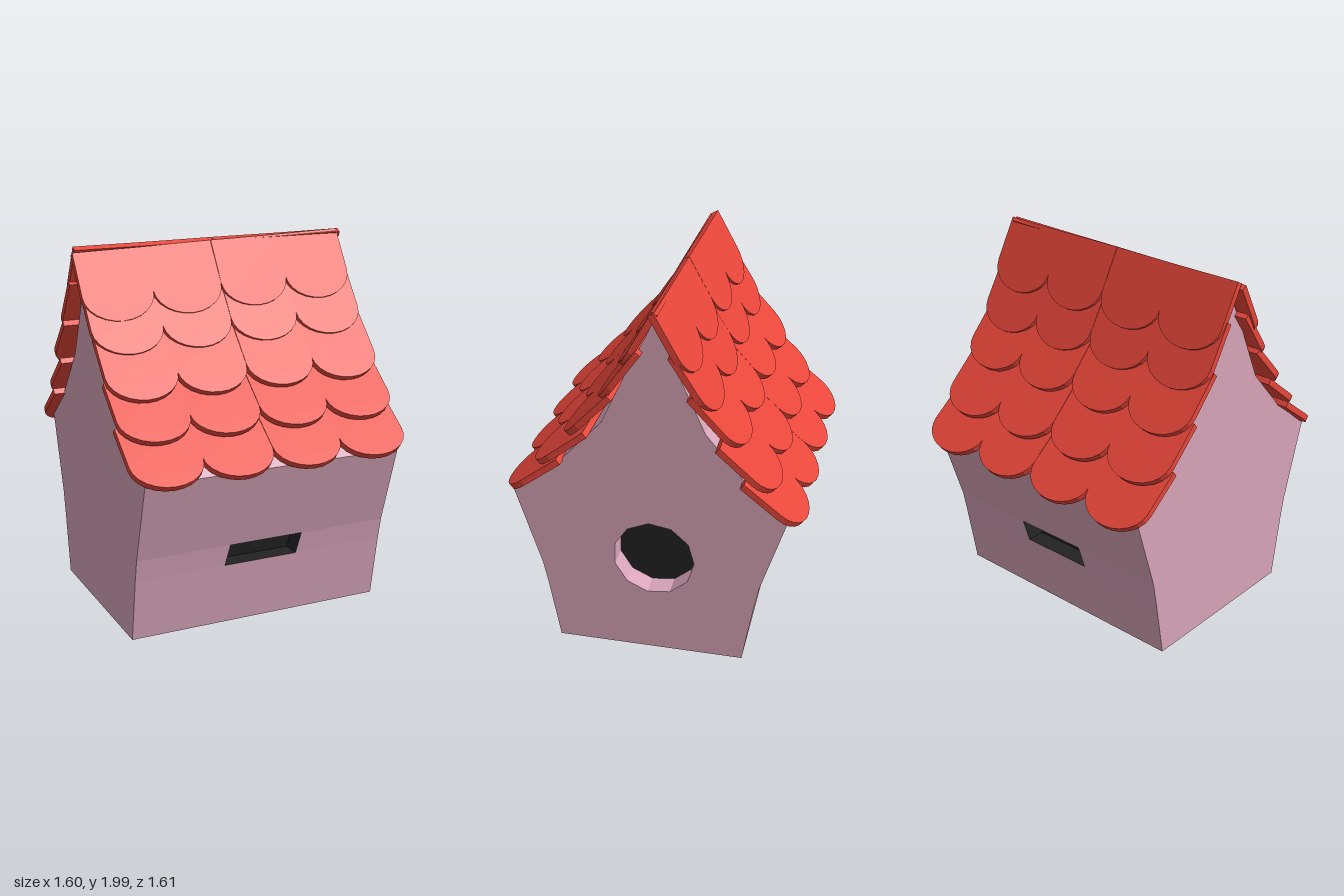
import * as THREE from 'three';

const mat = (color, side = THREE.FrontSide) =>
  new THREE.MeshStandardMaterial({ color, flatShading: true, side });
const pink = mat(0xd8a5b8), pinkInside = mat(0xd8a5b8, THREE.BackSide);
const dark = mat(0x222222), red = mat(0xe8463a);

// House outline as [z, y]: up the front, over the ridge, down the back
const profile = [
  [0.52, 0], [0.55, 0.18], [0.578, 0.35], [0.602, 0.47], [0.735, 0.91],
  [0.48, 1.11], [0.25, 1.36], [0.12, 1.64], [-0.035, 1.95],
  [-0.155, 1.64], [-0.28, 1.355], [-0.48, 1.11], [-0.71, 0.91],
  [-0.572, 0.47], [-0.549, 0.35], [-0.52, 0.18], [-0.49, 0],
];
const slotEdges = [2, 13];            // outline edges that carry a slot
const X0 = -0.715, X1 = 0.73;         // house ends
const HOLE = { z: -0.01, y: 0.577, r: 0.217, sides: 11, depth: 0.12 };

function add(parent, name, geometry, material) {
  const mesh = new THREE.Mesh(geometry, material);
  mesh.name = name;
  parent.add(mesh);
  return mesh;
}

// Geometry from a list of four-cornered faces
function quads(faces) {
  const pos = [];
  for (const [a, b, c, d] of faces) pos.push(...a, ...b, ...c, ...a, ...c, ...d);
  const g = new THREE.BufferGeometry();
  g.setAttribute('position', new THREE.Float32BufferAttribute(pos, 3));
  g.computeVertexNormals();
  return g;
}

function buildHouse() {
  const house = new THREE.Group();
  house.name = 'house';
  const walls = [], slots = [];
  const strip = (p, q, a0, a1, b0, b1) => [
    [a0, p[1], p[0]], [a1, p[1], p[0]], [b1, q[1], q[0]], [b0, q[1], q[0]]];
  const slotLeft = (y) => -0.21 + (y - 0.35) * 0.17;
  const slotRight = (y) => slotLeft(y) + 0.42;

  profile.forEach((p, i) => {
    const q = profile[(i + 1) % profile.length];
    if (!slotEdges.includes(i)) {
      walls.push(strip(p, q, X0, X1, X0, X1));
      return;
    }
    // Wall either side of a slot, and the slot's dark recess
    const [pl, pr, ql, qr] = [slotLeft(p[1]), slotRight(p[1]), slotLeft(q[1]), slotRight(q[1])];
    walls.push(strip(p, q, X0, pl, X0, ql), strip(p, q, pr, X1, qr, X1));
    const outer = strip(p, q, pl, pr, ql, qr);
    const inner = outer.map(([x, y, z]) => [x, y, z - Math.sign(z) * 0.1]);
    slots.push(inner);
    for (let k = 0; k < 4; k++) {
      const n = (k + 1) % 4;
      slots.push([outer[k], outer[n], inner[n], inner[k]]);
    }
  });
  add(house, 'walls', quads(walls), pink);
  add(house, 'slots', quads(slots), dark);

  // Plain gable end
  const plain = new THREE.Shape(profile.map(([z, y]) => new THREE.Vector2(z, y)));
  const plainEnd = add(house, 'plainGable', new THREE.ShapeGeometry(plain), pink);
  plainEnd.rotation.y = -Math.PI / 2;
  plainEnd.position.x = X0;

  // Gable end with the round entrance
  const rim = [];
  for (let i = 0; i < HOLE.sides; i++) {
    const a = 1.69 + (i / HOLE.sides) * Math.PI * 2;
    rim.push(new THREE.Vector2(-HOLE.z + HOLE.r * Math.cos(a), HOLE.y + HOLE.r * Math.sin(a)));
  }
  const open = new THREE.Shape(profile.map(([z, y]) => new THREE.Vector2(-z, y)));
  open.holes.push(new THREE.Path(rim));
  const entranceEnd = new THREE.Group();
  entranceEnd.name = 'entranceGable';
  entranceEnd.rotation.y = Math.PI / 2;
  entranceEnd.position.x = X1;
  house.add(entranceEnd);
  add(entranceEnd, 'gableWall', new THREE.ShapeGeometry(open), pink);
  const ring = rim.map((p, i) => {
    const n = rim[(i + 1) % rim.length];
    return [[p.x, p.y, -HOLE.depth], [n.x, n.y, -HOLE.depth], [n.x, n.y, 0], [p.x, p.y, 0]];
  });
  add(entranceEnd, 'entranceRim', quads(ring), pinkInside);
  const disc = add(entranceEnd, 'entranceBack', new THREE.ShapeGeometry(new THREE.Shape(rim)), dark);
  disc.position.z = -HOLE.depth;
  return house;
}

// Round-ended roof tile, its tip at the origin and its length along +y
const TILE_W = 0.392, TILE_L = 0.39, TILE_T = 0.034;
function tileGeometry() {
  const w = TILE_W / 2, arc = 0.145, s = new THREE.Shape();
  s.moveTo(w, TILE_L);
  s.lineTo(-w, TILE_L);
  for (let i = 0; i <= 12; i++) {
    const a = Math.PI + (i / 12) * Math.PI;
    s.lineTo(w * Math.cos(a), arc + arc * Math.sin(a));
  }
  const g = new THREE.ExtrudeGeometry(s, { depth: TILE_T, bevelEnabled: false });
  g.translate(0, 0, -TILE_T / 2);
  return g;
}

// Rows from the ridge down: top distance and height, tip distance and height, x shift, tilt
const frontRows = [
  [-0.03, 1.97, 0.165, 1.625, -0.01, 0.03],
  [0.05, 1.77, 0.275, 1.457, 0, 0.006],
  [0.19, 1.53, 0.455, 1.252, 0.01, -0.004],
  [0.31, 1.32, 0.62, 1.075, 0.012, -0.008],
  [0.49, 1.12, 0.785, 0.9, 0.01, 0.008],
];
const backRows = [
  [0.03, 1.97, 0.215, 1.635, 0, -0.01],
  [0.11, 1.78, 0.32, 1.445, 0.012, 0.008],
  [0.21, 1.55, 0.475, 1.265, 0.01, -0.008],
  [0.33, 1.32, 0.635, 1.045, 0, 0.01],
  [0.48, 1.11, 0.79, 0.865, -0.01, -0.012],
];

function buildRoofSide(name, rows, tile) {
  const side = new THREE.Group();
  side.name = name;
  rows.forEach(([d0, y0, d1, y1, shift, tilt], r) => {
    const slope = new THREE.Group();
    slope.name = `tileRow${r + 1}`;
    slope.position.set(shift, y1, d1);
    slope.rotation.x = Math.atan2(d0 - d1, y0 - y1);
    const row = new THREE.Group();
    row.rotation.z = tilt;
    slope.add(row);
    for (let c = 0; c < 4; c++) {
      const t = add(row, 'roofTile', tile, red);
      t.position.set((c - 1.5) * TILE_W, 0, 0);
      t.rotation.z = (c % 2 ? 1 : -1) * 0.004;
    }
    side.add(slope);
  });
  return side;
}

export function createModel() {
  const model = new THREE.Group();
  model.name = 'birdhouse';
  model.add(buildHouse());
  const tile = tileGeometry();
  const back = buildRoofSide('backRoof', backRows, tile);
  back.rotation.y = Math.PI;
  model.add(buildRoofSide('frontRoof', frontRows, tile), back);
  return model;
}
